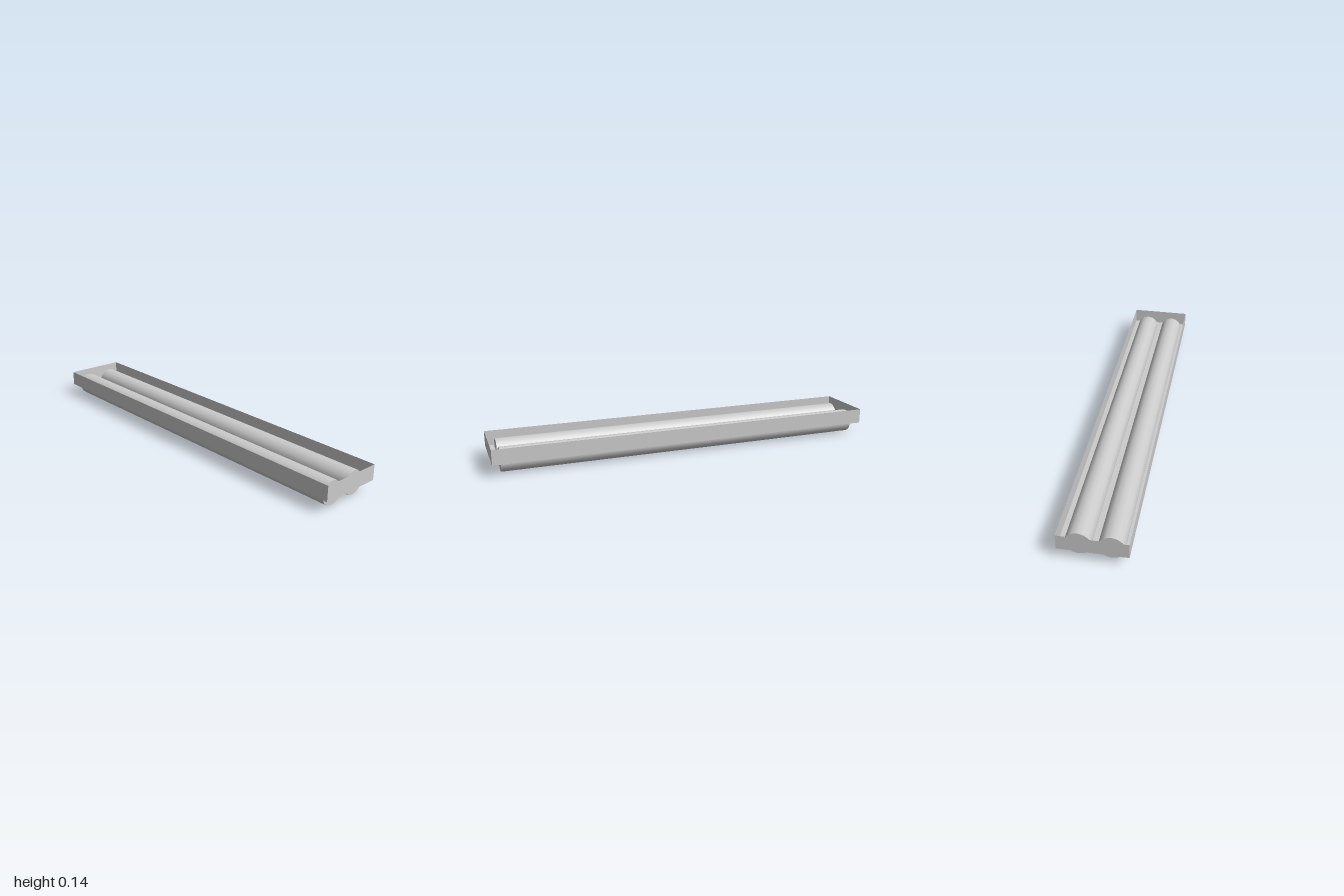
import * as THREE from 'three';

const WIDTH = 0.316, LENGTH = 2, BASE_Y = 0.061, TOP_Y = 0.138;
const TUBE_RADIUS = 0.06, TUBE_LENGTH = 1.914, TUBE_X = 0.0735;

export function createModel() {
  const group = new THREE.Group();
  const grey = new THREE.MeshStandardMaterial({ color: 0xcccccc, side: THREE.DoubleSide });
  grey.name = 'light grey';

  // Thin sheet tray: a box without its top face
  const trayGeometry = new THREE.BoxGeometry(WIDTH, TOP_Y - BASE_Y, LENGTH);
  const index = Array.from(trayGeometry.index.array);
  index.splice(12, 6);
  trayGeometry.setIndex(index);
  trayGeometry.clearGroups();
  const tray = new THREE.Mesh(trayGeometry, grey);
  tray.name = 'housingTray';
  tray.position.y = (BASE_Y + TOP_Y) / 2;
  group.add(tray);

  // Two long lamp tubes set halfway through the tray floor
  const tubeGeometry = new THREE.CylinderGeometry(TUBE_RADIUS, TUBE_RADIUS, TUBE_LENGTH, 14);
  tubeGeometry.rotateX(Math.PI / 2);
  for (const side of [-1, 1]) {
    const tube = new THREE.Mesh(tubeGeometry, grey);
    tube.name = side > 0 ? 'leftTube' : 'rightTube';
    tube.position.set(side * TUBE_X, TUBE_RADIUS, 0);
    group.add(tube);
  }
  return group;
}
